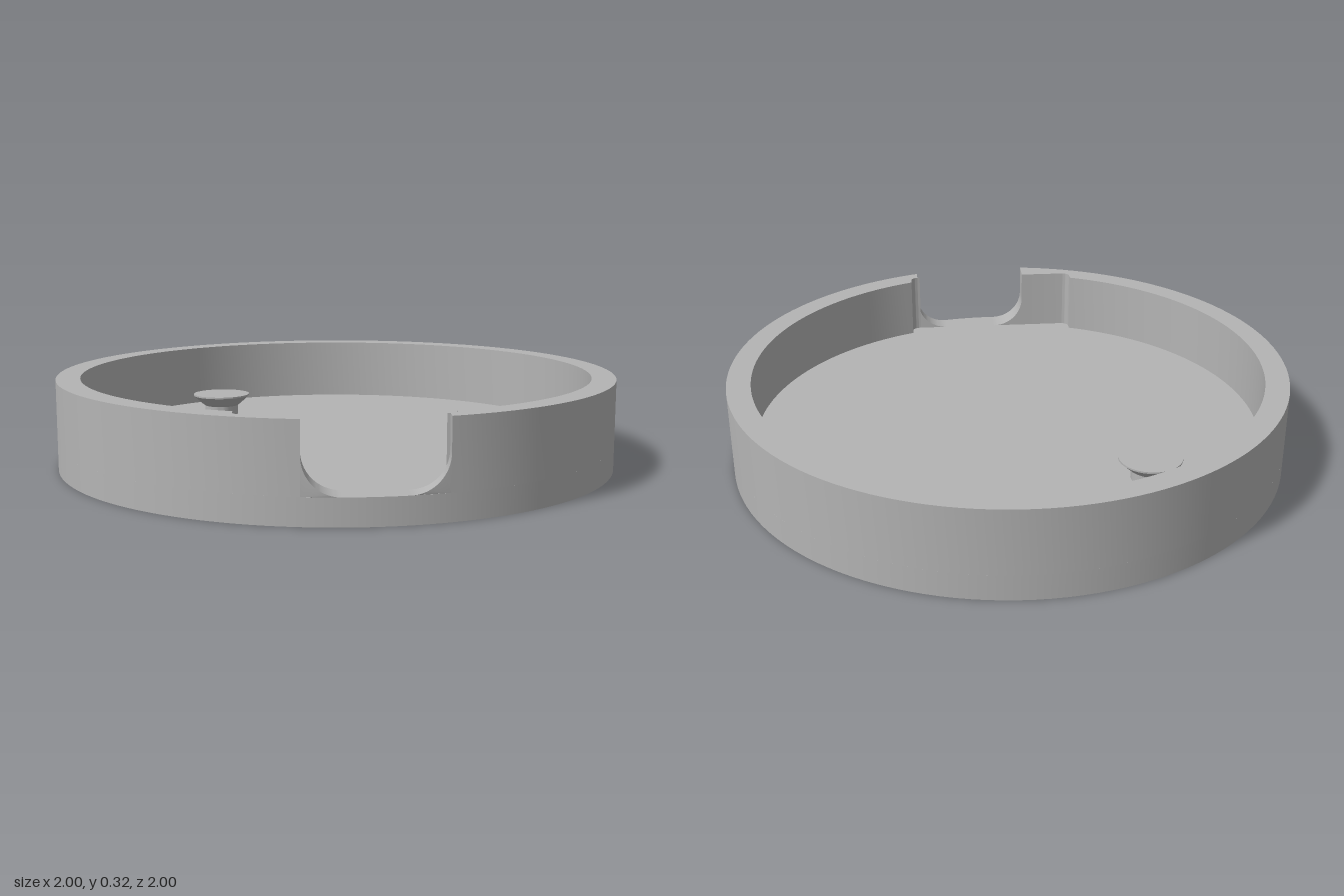
import * as THREE from 'three';
import { toCreasedNormals } from 'three/addons/utils/BufferGeometryUtils.js';

const R = 1, INNER = 0.915, HEIGHT = 0.32, FLOOR = 0.09;
const NOTCH_L = -0.135, NOTCH_R = 0.31, FILLET = 0.12; // notch through the front wall
const FLAT_Z = 0.905, FLAT_X = 0.335, CORNER = 0.035; // flat recess inside the front wall

const onCircle = (x, r) => Math.sqrt(r * r - x * x);

export function createModel() {
  const grey = new THREE.MeshStandardMaterial({ color: 0xb4b4b4 });
  grey.name = 'grey';
  const group = new THREE.Group();
  group.name = 'roundTray';
  const add = (name, geometry) => {
    const mesh = new THREE.Mesh(geometry, grey);
    mesh.name = name;
    group.add(mesh);
    return mesh;
  };

  // Base disc, whose top is the tray floor
  add('base', new THREE.CylinderGeometry(R, R, FLOOR, 128)).position.y = FLOOR / 2;

  // Ring wall outline in plan (x, z), open at the notch
  const innerZ = onCircle(FLAT_X, INNER);
  const innerAngle = Math.atan2(innerZ, FLAT_X);
  const plan = new THREE.Shape();
  plan.moveTo(NOTCH_R, onCircle(NOTCH_R, R));
  plan.absarc(0, 0, R, Math.acos(NOTCH_R), Math.acos(NOTCH_L), true);
  plan.lineTo(NOTCH_L, FLAT_Z);
  plan.lineTo(-FLAT_X + CORNER, FLAT_Z);
  plan.quadraticCurveTo(-FLAT_X, FLAT_Z, -FLAT_X, FLAT_Z - CORNER);
  plan.lineTo(-FLAT_X, innerZ);
  plan.absarc(0, 0, INNER, Math.PI - innerAngle, innerAngle, false);
  plan.lineTo(FLAT_X, FLAT_Z - CORNER);
  plan.quadraticCurveTo(FLAT_X, FLAT_Z, FLAT_X - CORNER, FLAT_Z);
  plan.lineTo(NOTCH_R, FLAT_Z);
  const wall = new THREE.ExtrudeGeometry(plan, {
    depth: HEIGHT - FLOOR, bevelEnabled: false, curveSegments: 64,
  });
  wall.rotateX(Math.PI / 2).translate(0, HEIGHT, 0);
  add('wall', toCreasedNormals(wall, 0.5));

  // Rounded lower corners of the notch, bent to follow the outer circle
  const fillet = (name, x, side) => {
    const s = new THREE.Shape();
    s.moveTo(x, FLOOR);
    s.lineTo(x + side * FILLET, FLOOR);
    s.absarc(x + side * FILLET, FLOOR + FILLET, FILLET, -Math.PI / 2,
      side > 0 ? -Math.PI : 0, side > 0);
    s.closePath();
    const g = new THREE.ExtrudeGeometry(s, { depth: 1, bevelEnabled: false, curveSegments: 12 });
    const p = g.attributes.position;
    for (let i = 0; i < p.count; i++) {
      p.setZ(i, p.getZ(i) > 0.5 ? onCircle(p.getX(i), R) : FLAT_Z);
    }
    add(name, toCreasedNormals(g, 0.5));
  };
  fillet('notchCornerRight', NOTCH_L, 1);
  fillet('notchCornerLeft', NOTCH_R, -1);

  // Small mushroom-shaped peg on the floor
  const profile = [[0.065, 0], [0.065, 0.035], [0.075, 0.042], [0.11, 0.074], [0.11, 0.08], [0, 0.08]]
    .map(([r, y]) => new THREE.Vector2(r, y));
  const peg = toCreasedNormals(new THREE.LatheGeometry(profile, 48), 0.4);
  add('peg', peg).position.set(-0.445, FLOOR, -0.45);

  return group;
}
